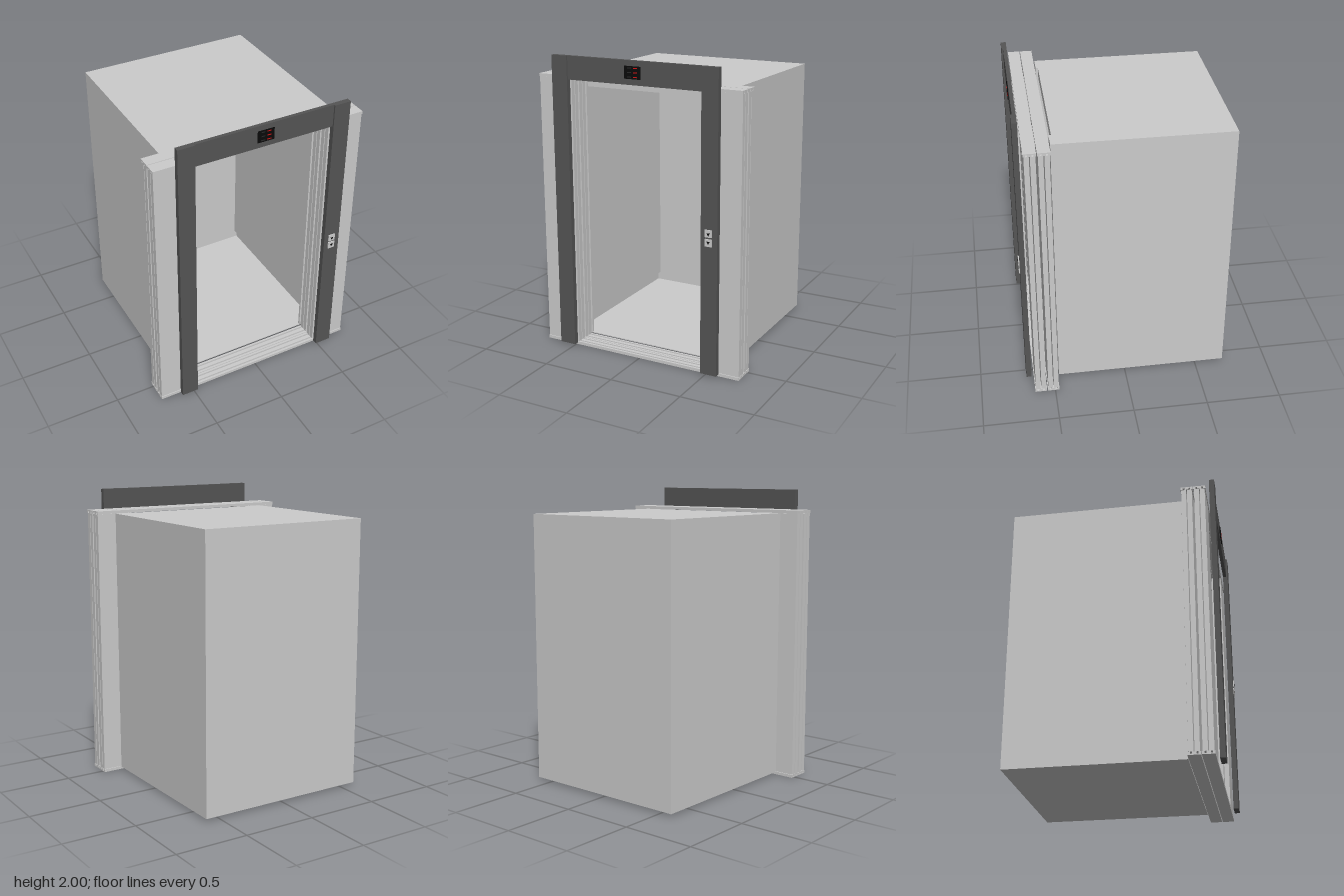
import * as THREE from 'three';

const grey = new THREE.MeshStandardMaterial({ color: 0xcccccc });
const paint = (color) => new THREE.MeshStandardMaterial({ color });
const dark = paint(0x555555), black = paint(0x0a0a0a), red = paint(0xe01515), dim = paint(0x2a2a2a);

// Box given by its lower and upper limits on each axis
function box(parent, name, [x0, x1], [y0, y1], [z0, z1], material = grey) {
  const mesh = new THREE.Mesh(new THREE.BoxGeometry(x1 - x0, y1 - y0, z1 - z0), material);
  mesh.position.set((x0 + x1) / 2, (y0 + y1) / 2, (z0 + z1) / 2);
  mesh.name = name;
  parent.add(mesh);
  return mesh;
}

function group(parent, name) {
  const g = new THREE.Group();
  g.name = name;
  parent.add(g);
  return g;
}

// x range on the side s = -1 or 1
const side = (s, a, b) => (s > 0 ? [a, b] : [-b, -a]);

// Grooved rail running along x; up = 1 has its grooves on top, -1 underneath
function rail(parent, name, y, z, up) {
  const h = 0.02, depth = 0.013, half = 0.04, pts = [[-half, 0], [-half, h]];
  for (const c of [-0.019, 0.019]) {
    pts.push([c - 0.006, h], [c - 0.006, h - depth], [c + 0.006, h - depth], [c + 0.006, h]);
  }
  pts.push([half, h], [half, 0]);
  const shape = new THREE.Shape(pts.map(([a, b]) => new THREE.Vector2(a, up * b)));
  const geo = new THREE.ExtrudeGeometry(shape, { depth: 1.46, bevelEnabled: false });
  geo.translate(0, 0, -0.73).rotateY(-Math.PI / 2);
  const mesh = new THREE.Mesh(geo, grey);
  mesh.position.set(0, y, z);
  mesh.name = name;
  parent.add(mesh);
}

export function createModel() {
  const model = new THREE.Group();
  model.name = 'elevator';

  // Cabin: thin shell, open at the front
  const cabin = group(model, 'cabin');
  const back = -0.695, front = 0.463, bottom = 0.02, top = 1.845;
  box(cabin, 'cabinFloor', [-0.598, 0.598], [bottom, bottom + 0.006], [back, front]);
  box(cabin, 'cabinCeiling', [-0.598, 0.598], [1.77, top], [back, 0.447]);
  box(cabin, 'cabinBackWall', [-0.598, 0.598], [bottom, top], [back, back + 0.005]);
  for (const s of [-1, 1]) {
    box(cabin, 'cabinSideWall', side(s, 0.594, 0.6), [bottom, top], [back, front]);
    box(cabin, 'cabinSidePanel', side(s, 0.574, 0.594), [0.085, 1.77], [back, 0.447]);
    box(cabin, 'cabinFrontWall', side(s, 0.48, 0.6), [bottom, top], [0.447, front]);
  }

  // Cabin doors and landing doors: sill, top track and stacked open panels
  for (const [name, z] of [['cabinDoors', 0.512], ['landingDoors', 0.597]]) {
    const doors = group(model, name);
    rail(doors, 'sill', 0, z, 1);
    rail(doors, 'topTrack', 1.865, z, -1);
    for (const s of [-1, 1]) for (const dz of [-0.019, 0.019]) {
      const zc = z + dz;
      box(doors, 'doorPanel', side(s, 0.482, 0.728), [0.021, 1.844], [zc - 0.016, zc + 0.016]);
      for (const [y0, y1] of [[0.009, 0.021], [1.844, 1.856]]) {
        box(doors, 'doorGuide', side(s, 0.52, 0.69), [y0, y1], [zc - 0.004, zc + 0.004]);
      }
    }
  }

  // Landing frame
  const frame = group(model, 'landingFrame');
  for (const s of [-1, 1]) box(frame, 'jamb', side(s, 0.48, 0.594), [0.02, 2], [0.652, 0.687], dark);
  box(frame, 'header', [-0.48, 0.48], [1.847, 2], [0.652, 0.676], dark);

  // Floor indicator: dark screen with unlit and lit bars
  const indicator = group(model, 'floorIndicator');
  box(indicator, 'screen', [-0.058, 0.056], [1.885, 1.965], [0.676, 0.681], black);
  for (const [x, material] of [[-0.022, dim], [0.02, red]]) {
    for (const y of [1.897, 1.925, 1.953]) {
      box(indicator, 'indicatorBar', [x - 0.014, x + 0.014], [y - 0.003, y + 0.003], [0.681, 0.682], material);
    }
  }

  // Call buttons with up and down arrows
  const buttons = group(model, 'callButtons');
  for (const [y, dir] of [[0.97, 1], [0.91, -1]]) {
    box(buttons, 'button', [0.511, 0.559], [y - 0.024, y + 0.024], [0.687, 0.694]);
    const arrow = new THREE.Mesh(new THREE.CylinderGeometry(0.013, 0.013, 0.002, 3), black);
    arrow.rotation.set(Math.PI / 2, 0, dir > 0 ? Math.PI : 0);
    arrow.position.set(0.535, y - dir * 0.003, 0.695);
    arrow.name = dir > 0 ? 'upArrow' : 'downArrow';
    buttons.add(arrow);
  }
  return model;
}
